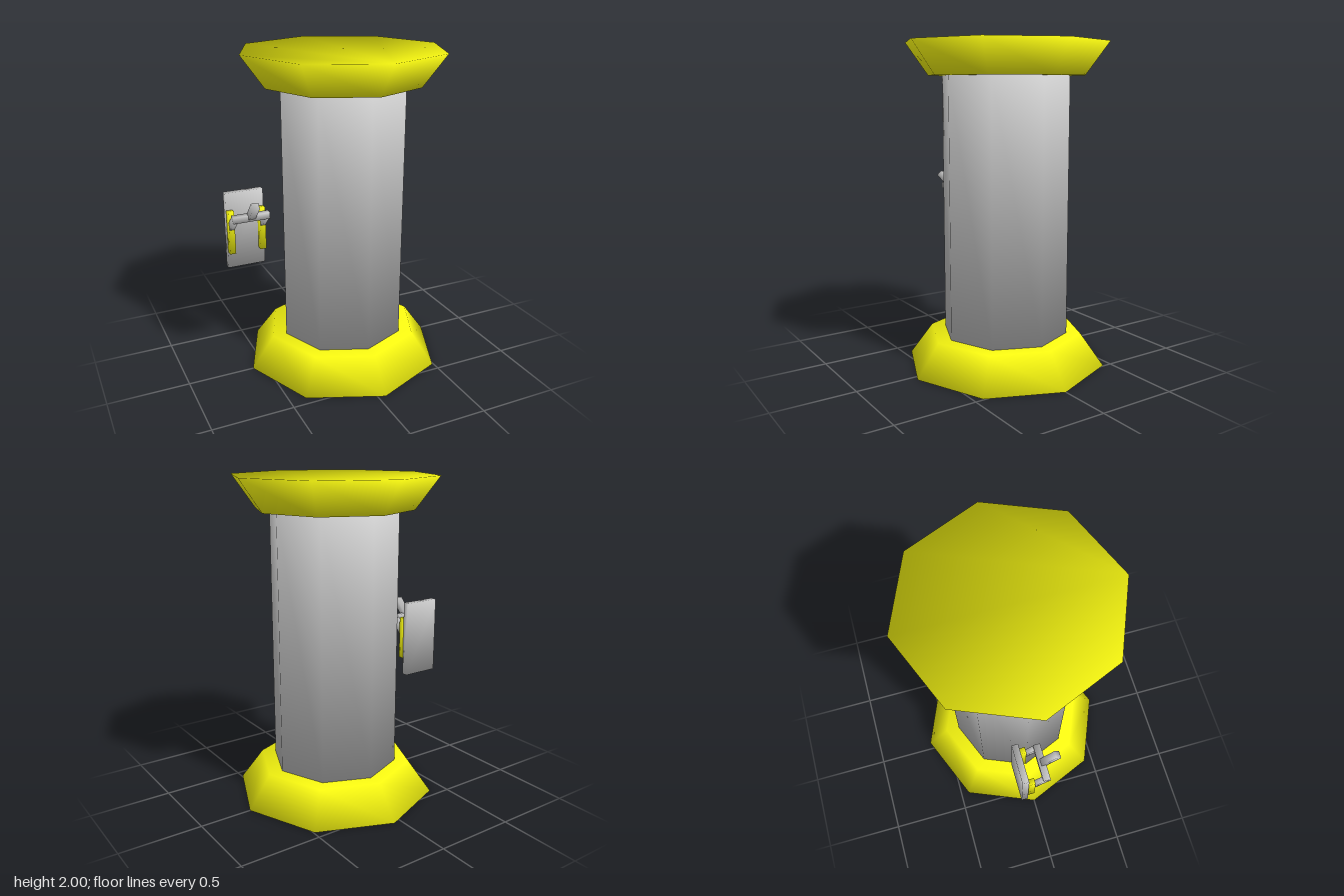
import * as THREE from 'three';

const grey = new THREE.MeshStandardMaterial({ color: 0xcccccc });
const yellow = new THREE.MeshStandardMaterial({ color: 0xffff11 });

// Closed eight-sided prism, shaded smoothly over all its edges
function octagon(rTop, rBottom, height) {
  const n = 8, position = [], normal = [], index = [];
  const slope = (rBottom - rTop) * Math.cos(Math.PI / n) / height;
  for (const end of [1, -1]) {
    for (let i = 0; i < n; i++) {
      const a = i / n * Math.PI * 2, r = end > 0 ? rTop : rBottom;
      position.push(r * Math.sin(a), end * height / 2, r * Math.cos(a));
      // Blend of the two side faces and the end face
      const out = 2 * Math.cos(Math.PI / n);
      const up = 2 * slope + end * 1.5 * Math.hypot(1, slope);
      const v = new THREE.Vector3(out * Math.sin(a), up, out * Math.cos(a)).normalize();
      normal.push(v.x, v.y, v.z);
    }
  }
  for (let i = 0; i < n; i++) {
    const j = (i + 1) % n;
    index.push(i, n + i, n + j, i, n + j, j);
  }
  for (let i = 1; i < n - 1; i++) {
    index.push(0, i, i + 1, n, n + i + 1, n + i);
  }
  const g = new THREE.BufferGeometry();
  g.setAttribute('position', new THREE.Float32BufferAttribute(position, 3));
  g.setAttribute('normal', new THREE.Float32BufferAttribute(normal, 3));
  g.setIndex(index);
  return g;
}

// Box whose corner normals point diagonally outwards
function box(w, h, d) {
  const g = new THREE.BoxGeometry(w, h, d);
  const p = g.attributes.position, k = Math.sqrt(1 / 3);
  for (let i = 0; i < p.count; i++) {
    g.attributes.normal.setXYZ(i, k * Math.sign(p.getX(i)), k * Math.sign(p.getY(i)), k * Math.sign(p.getZ(i)));
  }
  return g;
}

function add(parent, name, geometry, material, x, y, z) {
  const mesh = new THREE.Mesh(geometry, material);
  mesh.name = name;
  mesh.position.set(x, y, z);
  parent.add(mesh);
  return mesh;
}

// Square bar in the y-z plane running between two [y, z] points
function bar(parent, name, x, from, to, width, thickness) {
  const dy = to[0] - from[0], dz = to[1] - from[1];
  const mesh = add(parent, name, box(width, thickness, Math.hypot(dy, dz)), grey,
    x, (from[0] + to[0]) / 2, (from[1] + to[1]) / 2);
  mesh.rotation.x = -Math.atan2(dy, dz);
}

export function createModel() {
  const model = new THREE.Group();
  model.name = 'pillarWithLever';

  // Pillar with flared ends
  const pillar = new THREE.Group();
  pillar.name = 'pillar';
  pillar.position.x = 0.047;
  model.add(pillar);
  add(pillar, 'column', octagon(0.395, 0.395, 1.6), grey, 0, 1, 0);
  add(pillar, 'base', octagon(0.485, 0.63, 0.2), yellow, 0, 0.1, 0);
  add(pillar, 'capital', octagon(0.63, 0.485, 0.2), yellow, 0, 1.9, 0);

  // Lever switch beside the pillar
  const lever = new THREE.Group();
  lever.name = 'leverSwitch';
  lever.position.x = -0.562;
  model.add(lever);
  add(lever, 'backPlate', box(0.238, 0.484, 0.04), grey, 0, 0.936, -0.112);
  for (const side of [-1, 1]) {
    const name = side > 0 ? 'left' : 'right';
    add(lever, name + 'Rail', box(0.037, 0.27, 0.042), yellow, side * 0.098, 0.935, -0.071);
    bar(lever, name + 'Arm', side * 0.098, [0.965, -0.07], [1.05, 0.022], 0.032, 0.04);
  }
  add(lever, 'crossbar', box(0.228, 0.04, 0.044), grey, 0, 1.05, 0.022);
  bar(lever, 'handle', 0, [1.055, 0.028], [1.15, 0.117], 0.045, 0.04);
  return model;
}
